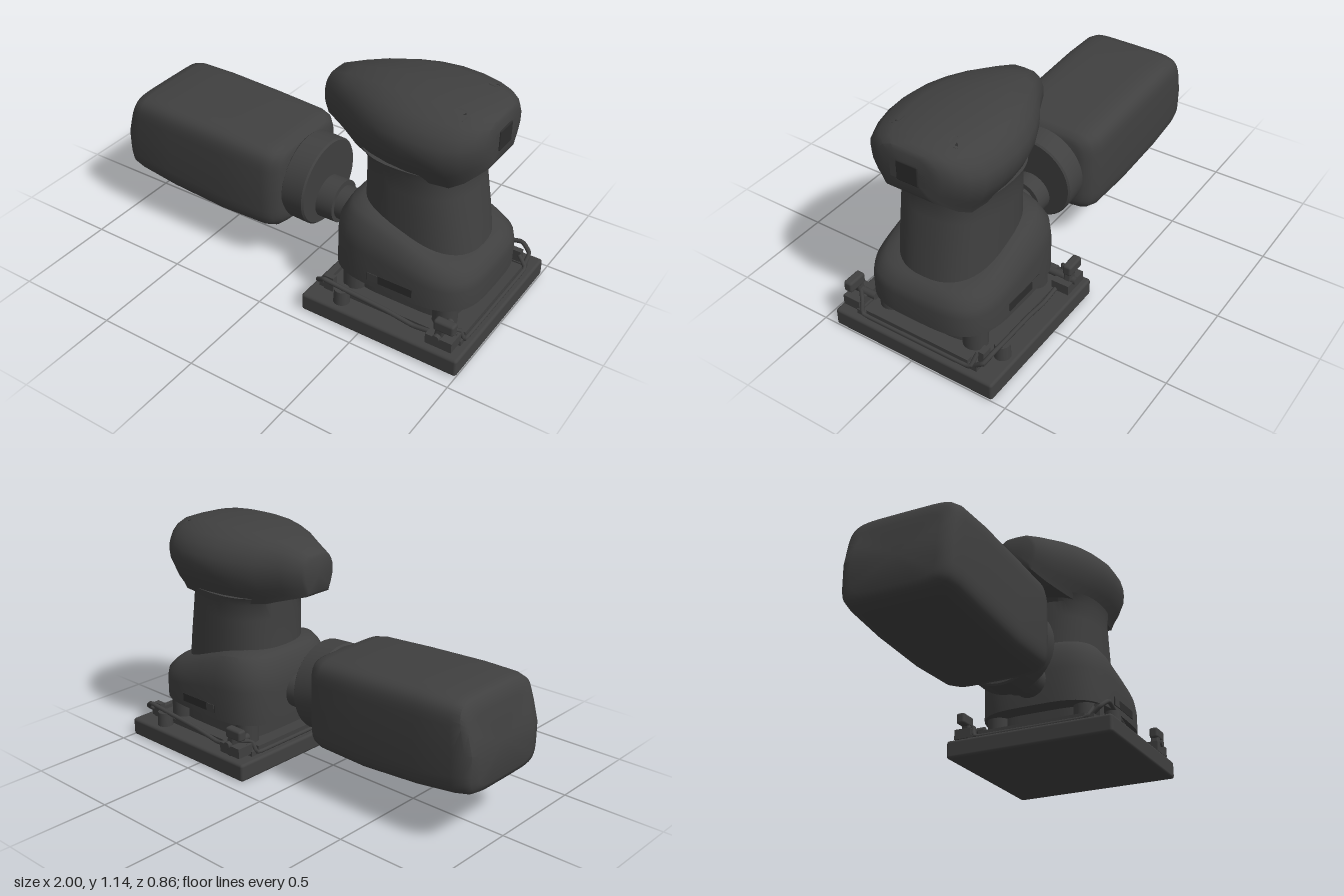
import * as THREE from 'three';
import { toCreasedNormals } from 'three/addons/utils/BufferGeometryUtils.js';
import { RoundedBoxGeometry } from 'three/addons/geometries/RoundedBoxGeometry.js';

const dark = new THREE.MeshStandardMaterial({ color: 0x404040 });
const darker = new THREE.MeshStandardMaterial({ color: 0x2c2c2c });

function add(parent, name, geometry, pos = [0, 0, 0], rot = [0, 0, 0], material = dark) {
  const mesh = new THREE.Mesh(geometry, material);
  mesh.name = name;
  mesh.position.set(...pos);
  mesh.rotation.set(...rot);
  parent.add(mesh);
  return mesh;
}

// Superellipse outline: higher power means squarer corners
function outline(a, b, power, count = 48) {
  return Array.from({ length: count }, (_, i) => {
    const t = (i / count) * Math.PI * 2, c = Math.cos(t), s = Math.sin(t);
    return [a * Math.sign(c) * Math.abs(c) ** (2 / power), b * Math.sign(s) * Math.abs(s) ** (2 / power)];
  });
}

// Skin a list of equal rings of [x, y, z] points and cap both ends
function loft(rings, crease = 0.6) {
  const n = rings[0].length, pos = rings.flat(2), index = [];
  for (let r = 0; r < rings.length - 1; r++)
    for (let i = 0; i < n; i++) {
      const a = r * n + i, b = r * n + (i + 1) % n;
      index.push(a, b, b + n, a, b + n, a + n);
    }
  [0, rings.length - 1].forEach((r, end) => {
    const centre = pos.length / 3;
    for (let k = 0; k < 3; k++) pos.push(rings[r].reduce((sum, p) => sum + p[k] / n, 0));
    for (let i = 0; i < n; i++) {
      const a = r * n + i, b = r * n + (i + 1) % n;
      index.push(...(end ? [centre, a, b] : [centre, b, a]));
    }
  });
  // Turn the faces outward if the enclosed volume is negative
  const P = (i) => new THREE.Vector3(pos[i * 3], pos[i * 3 + 1], pos[i * 3 + 2]);
  let volume = 0;
  for (let i = 0; i < index.length; i += 3) volume += P(index[i]).dot(P(index[i + 1]).cross(P(index[i + 2])));
  if (volume < 0) index.reverse();
  const g = new THREE.BufferGeometry();
  g.setAttribute('position', new THREE.Float32BufferAttribute(pos, 3));
  g.setIndex(index);
  return toCreasedNormals(g, crease);
}

// Horizontal ring between x0 and x1 with half depth w
function levelRing(y, x0, x1, w, power) {
  return outline((x1 - x0) / 2, w, power).map(([u, v]) => [(x0 + x1) / 2 + u, y, v]);
}

function tube(points, radius) {
  const path = new THREE.CatmullRomCurve3(points.map((p) => new THREE.Vector3(...p)), false, 'catmullrom', 0.2);
  return new THREE.TubeGeometry(path, points.length * 6, radius, 8);
}

// Egg-shaped palm grip, skinned along x
function buildHead(group) {
  const half = [[0, 1], [0.5, 0.985], [0.76, 0.9], [0.9, 0.79], [0.99, 0.65], [1, 0.53], [0.98, 0.4], [0.88, 0.22], [0.78, 0.1], [0.72, 0], [0, 0]];
  const profile = [...half, ...half.slice(1, -1).reverse().map(([z, y]) => [-z, y])];
  const stations = [ // x, half width, bottom, top
    [0.09, 0.09, 0.875, 1.04], [0.1, 0.105, 0.86, 1.055], [0.2, 0.152, 0.83, 1.09], [0.3, 0.215, 0.8, 1.115],
    [0.4, 0.262, 0.785, 1.13], [0.5, 0.295, 0.785, 1.138], [0.6, 0.31, 0.785, 1.14], [0.7, 0.305, 0.785, 1.137],
    [0.79, 0.285, 0.785, 1.13], [0.85, 0.255, 0.82, 1.12], [0.89, 0.215, 0.855, 1.11], [0.92, 0.165, 0.88, 1.098], [0.93, 0.12, 0.9, 1.08],
  ];
  add(group, 'palmGrip', loft(stations.map(([x, w, lo, hi]) => profile.map(([z, y]) => [x, lo + y * (hi - lo), z * w])), 0.7));
  for (const z of [-0.15, 0.15]) {
    add(group, 'gripScrew', new THREE.CylinderGeometry(0.034, 0.034, 0.02, 20), [0.79, 1.107, z], [z * 2.2, 0, -0.1]);
    add(group, 'screwSlot', new THREE.BoxGeometry(0.05, 0.006, 0.009), [0.79, 1.117, z], [z * 2.2, 0.5, -0.1], darker);
  }
  add(group, 'switchFrame', new RoundedBoxGeometry(0.06, 0.105, 0.195, 2, 0.008), [0.9, 0.988, 0]);
  add(group, 'powerSwitch', new RoundedBoxGeometry(0.02, 0.098, 0.11, 2, 0.006), [0.926, 0.988, 0], [0, 0, 0], darker);
}

// Neck and motor housing with a shoulder that slopes down toward +x
function buildBody(group) {
  add(group, 'neck', loft([
    [0.3, 0.3, 0.9, 0.24], [0.42, 0.315, 0.88, 0.24], [0.55, 0.32, 0.86, 0.24],
    [0.7, 0.322, 0.833, 0.24], [0.78, 0.32, 0.82, 0.24], [0.82, 0.29, 0.83, 0.25],
  ].map((r) => levelRing(...r, 2.5))));
  const shoulder = (x) => 0.55 - 0.14 * THREE.MathUtils.smoothstep(x, 0.38, 0.92);
  const steps = [[0, 0], [0.5, 0], [0.72, 0.008], [0.88, 0.035], [0.96, 0.055], [1, 0.09], [1.02, 0.13]];
  add(group, 'motorHousing', loft(steps.map(([f, inset]) =>
    levelRing(0, 0.23 + inset, 0.957 - inset, 0.33 - inset, 3.6)
      .map(([x, , z]) => [x, 0.21 + (shoulder(x) - 0.21) * f, z]))));
  for (const s of [-1, 1]) {
    add(group, 'ventSlot', new THREE.BoxGeometry(0.23, 0.042, 0.01), [0.595, 0.262, s * 0.327], [0, 0, 0], darker);
    add(group, 'ventTab', new THREE.BoxGeometry(0.055, 0.042, 0.014), [0.51, 0.262, s * 0.327]);
  }
  add(group, 'padCarrier', loft([0.09, 0.22].map((y) => levelRing(y, 0.33, 0.87, 0.25, 5))));
  for (const x of [0.36, 0.83]) for (const z of [-0.23, 0.23])
    add(group, 'padMount', new THREE.CylinderGeometry(0.058, 0.058, 0.12, 20), [x, 0.16, z]);
}

// Paper clamp for one long side
function buildClamp(group, turned) {
  const clamp = new THREE.Group();
  clamp.name = 'paperClamp';
  clamp.position.x = 0.595;
  clamp.rotation.y = turned ? Math.PI : 0;
  group.add(clamp);
  add(clamp, 'clampWire', tube([[-0.36, 0.11, 0.31], [-0.36, 0.15, 0.36], [-0.31, 0.185, 0.38], [-0.2, 0.165, 0.37],
    [0, 0.13, 0.35], [0.14, 0.1, 0.34], [0.3, 0.12, 0.34], [0.36, 0.15, 0.34]], 0.011));
  add(clamp, 'endWire', tube([[0.3, 0.16, 0.36], [0.35, 0.16, 0.31], [0.37, 0.11, 0.3], [0.37, 0.1, 0.26],
    [0.37, 0.1, -0.26], [0.37, 0.11, -0.3], [0.33, 0.16, -0.31]], 0.01));
  add(clamp, 'leverArm', new RoundedBoxGeometry(0.04, 0.14, 0.04, 2, 0.01), [0.29, 0.16, 0.38], [0, 0, -0.2]);
  add(clamp, 'leverPad', new RoundedBoxGeometry(0.1, 0.055, 0.045, 2, 0.012), [0.315, 0.213, 0.38]);
  add(clamp, 'hingeBlock', new THREE.BoxGeometry(0.13, 0.05, 0.09), [0.3, 0.13, 0.365]);
  add(clamp, 'hingePin', new THREE.CylinderGeometry(0.018, 0.018, 0.14, 12), [0.29, 0.155, 0.35], [Math.PI / 2, 0, 0]);
  add(clamp, 'wirePost', new THREE.CylinderGeometry(0.035, 0.04, 0.08, 16), [-0.225, 0.12, 0.365]);
  add(clamp, 'gripJaw', new THREE.BoxGeometry(0.03, 0.035, 0.56), [-0.35, 0.11, 0]);
  add(clamp, 'wireHook', new THREE.BoxGeometry(0.05, 0.075, 0.03), [-0.31, 0.135, 0.33]);
}

// Square sanding pad
function buildBase(group) {
  add(group, 'sandingPad', new RoundedBoxGeometry(0.81, 0.09, 0.862, 2, 0.014), [0.595, 0.045, 0]);
  add(group, 'padTopPlate', new THREE.BoxGeometry(0.74, 0.025, 0.66), [0.595, 0.095, 0]);
  for (const s of [-1, 1])
    add(group, 'padRail', new THREE.BoxGeometry(0.74, 0.03, 0.02), [0.595, 0.1, s * 0.32]);
  buildClamp(group, false);
  buildClamp(group, true);
}

// Dust outlet, collar and soft square bag
function buildDustBag(group) {
  const side = [0, 0, Math.PI / 2];
  add(group, 'dustOutlet', new THREE.CylinderGeometry(0.085, 0.085, 0.22, 32), [0.22, 0.335, 0], side);
  add(group, 'outletSleeve', new THREE.CylinderGeometry(0.107, 0.107, 0.12, 32), [0.08, 0.338, 0], side);
  const rim = [[0, -0.063], [0.212, -0.063], [0.22, -0.055], [0.22, 0.055], [0.212, 0.063], [0, 0.063]];
  add(group, 'bagCollar', toCreasedNormals(new THREE.LatheGeometry(rim.map((p) => new THREE.Vector2(...p)), 40), 0.5),
    [-0.01, 0.422, 0], [0, 0, Math.PI / 2 - 0.05]);
  const stations = [ // x, bottom, top, half width, lean of the top edge
    [-0.995, 0.3, 0.61, 0.2, 0.05], [-0.985, 0.275, 0.65, 0.24, 0.05], [-0.96, 0.26, 0.675, 0.26, 0.045], [-0.9, 0.248, 0.685, 0.27, 0.03],
    [-0.7, 0.222, 0.686, 0.275, 0], [-0.4, 0.2, 0.675, 0.273, 0], [-0.15, 0.207, 0.66, 0.27, 0],
    [-0.1, 0.217, 0.652, 0.255, 0], [-0.07, 0.24, 0.635, 0.225, 0], [-0.06, 0.26, 0.61, 0.2, 0],
  ];
  add(group, 'dustBag', loft(stations.map(([x, lo, hi, w, lean]) => outline(w, (hi - lo) / 2, 6)
    .map(([z, v]) => [x + lean * Math.max(0, v / (hi - lo) * 2), (lo + hi) / 2 + v, z])), 0.7));
}

export function createModel() {
  const model = new THREE.Group();
  model.name = 'palmSander';
  for (const [name, build] of [['head', buildHead], ['body', buildBody], ['base', buildBase], ['dustCollector', buildDustBag]]) {
    const group = new THREE.Group();
    group.name = name;
    build(group);
    model.add(group);
  }
  return model;
}
